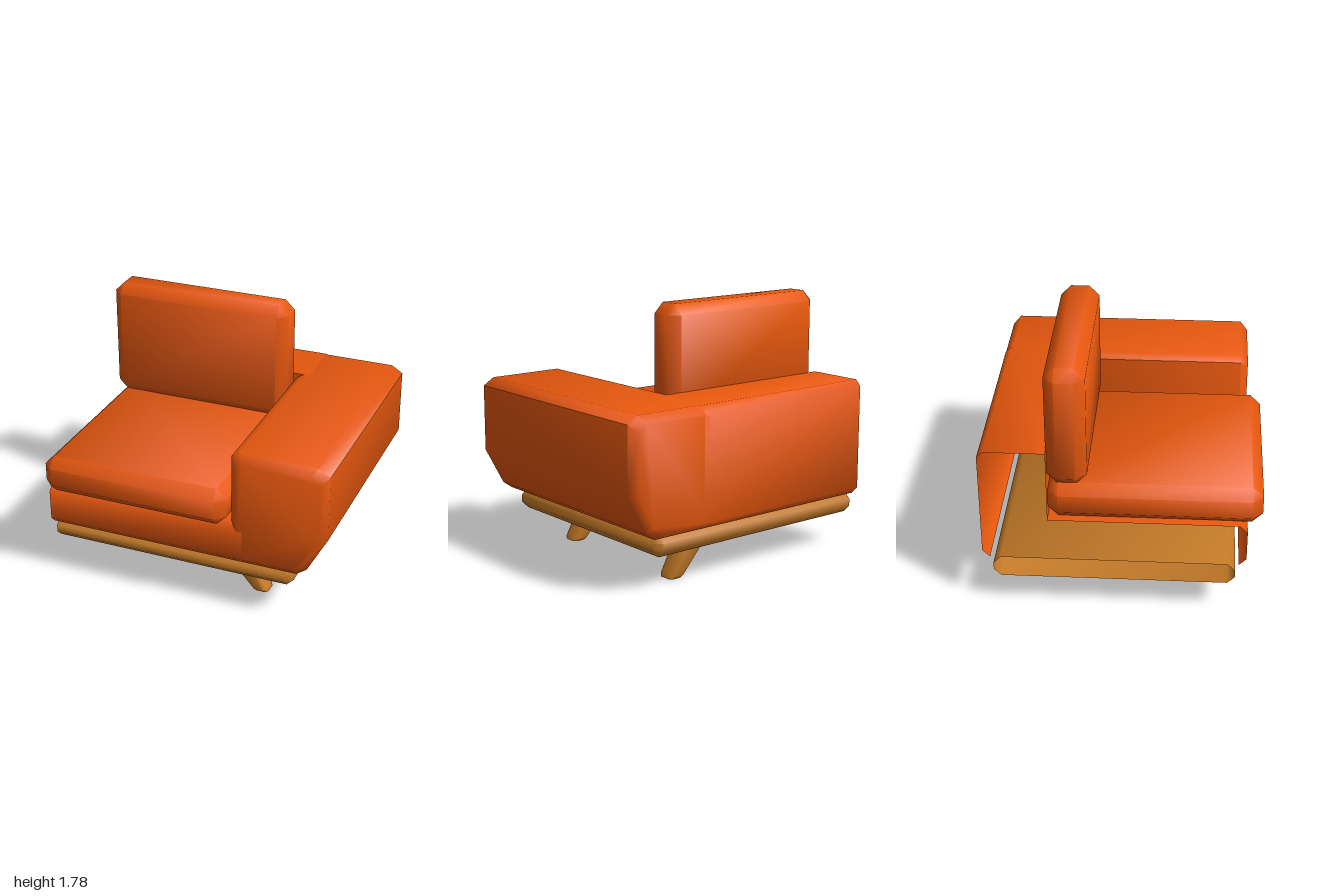
import * as THREE from 'three';
import { toCreasedNormals } from 'three/addons/utils/BufferGeometryUtils.js';
import { ConvexGeometry } from 'three/addons/geometries/ConvexGeometry.js';

const fabric = new THREE.MeshStandardMaterial({ color: 0xe8580e, side: THREE.DoubleSide });
fabric.name = 'orange fabric';
const wood = new THREE.MeshStandardMaterial({ color: 0xc47a28, side: THREE.DoubleSide });
wood.name = 'oak wood';

const SOFT = 1.0; // bevels shade smoothly, right angles stay sharp
const V = (x, y, z) => new THREE.Vector3(x, y, z);

function part(name, geometry, material) {
  const mesh = new THREE.Mesh(toCreasedNormals(geometry, SOFT), material);
  mesh.name = name;
  return mesh;
}

// the 24 corners of a box whose edges are bevelled by r
function bevelPoints(min, max, r) {
  const points = [];
  for (let i = 0; i < 8; i++) {
    for (let full = 0; full < 3; full++) {
      const p = [0, 1, 2].map((a) => {
        const inset = a === full ? 0 : r;
        return (i >> a) & 1 ? max[a] - inset : min[a] + inset;
      });
      points.push(V(...p));
    }
  }
  return points;
}

// drops the triangles lying on the open end at x = -1
function openEnd(geometry) {
  const a = geometry.attributes.position.array;
  const kept = [];
  for (let i = 0; i < a.length; i += 9) {
    if (Math.max(a[i], a[i + 3], a[i + 6]) > -0.99) kept.push(...a.slice(i, i + 9));
  }
  const g = new THREE.BufferGeometry();
  g.setAttribute('position', new THREE.Float32BufferAttribute(kept, 3));
  return g;
}

// sheet following a (z, y) profile from x0 to x1
function sheet(profile, x0, x1) {
  const pos = [], index = [];
  profile.forEach(([z, y], i) => {
    pos.push(x0, y, z, x1, y, z);
    if (i) {
      const a = 2 * i - 2;
      index.push(a, a + 2, a + 1, a + 1, a + 2, a + 3);
    }
  });
  const g = new THREE.BufferGeometry();
  g.setAttribute('position', new THREE.Float32BufferAttribute(pos, 3));
  g.setIndex(index);
  return g;
}

// splayed leg with chamfered corners, tapering towards the foot
function legGeometry(z) {
  const points = [];
  const ring = (y, x0, x1, hz, c) => {
    for (const s of [-1, 1]) {
      points.push(V(x0 + c, y, z + s * hz), V(x1 - c, y, z + s * hz));
      points.push(V(x0, y, z + s * (hz - c)), V(x1, y, z + s * (hz - c)));
    }
  };
  ring(0.23, 0.2, 0.38, 0.075, 0.02);
  ring(0.02, 0.385, 0.49, 0.075, 0.02);
  ring(0, 0.4, 0.5, 0.06, 0.02);
  return new ConvexGeometry(points);
}

export function createModel() {
  const model = new THREE.Group();
  model.name = 'sofaEndSection';

  // wooden plinth, open at the joining side
  const plinth = bevelPoints([-1, 0.23, -0.85], [0.75, 0.38, 0.76], 0.05);
  plinth.forEach((p) => { if (p.x < -0.9) p.x = -1; });
  model.add(part('plinth', openEnd(new ConvexGeometry(plinth)), wood));

  // legs
  model.add(part('frontLeg', legGeometry(0.475), wood));
  model.add(part('backLeg', legGeometry(-0.615), wood));

  // back and seat platform, a hollow shell open at the joining side
  const shell = [
    [-0.87, 0.38], [-0.92, 0.43], [-0.92, 1.16], [-0.88, 1.2],
    [-0.48, 1.2], [-0.48, 0.69], [0.78, 0.69], [0.83, 0.64], [0.83, 0.43], [0.78, 0.38],
  ];
  model.add(part('backAndSeatShell', sheet(shell, -1, 0.42), fabric));

  // armrest with an undercut outer side and bevelled ends
  const section = [
    [0.33, 0.38], [0.79, 0.38], [0.86, 0.43], [1, 0.69],
    [1, 1.15], [0.92, 1.2], [0.38, 1.2], [0.33, 1.17],
  ];
  const arm = [];
  for (const [x, y] of section) {
    const xi = 0.66 + (x - 0.66) * 0.86, yi = 0.79 + (y - 0.79) * 0.88;
    arm.push(V(x, y, -0.87), V(x, y, 0.78), V(xi, yi, -0.92), V(xi, yi, 0.83));
  }
  model.add(part('armrest', new ConvexGeometry(arm), fabric));

  // loose cushions
  const cushion = (min, max) => new ConvexGeometry(bevelPoints(min, max, 0.07));
  model.add(part('seatCushion', cushion([-1, 0.685, -0.48], [0.325, 0.95, 0.925]), fabric));
  model.add(part('backCushion', cushion([-0.995, 0.94, -0.485], [0.325, 1.785, -0.22]), fabric));

  return model;
}
